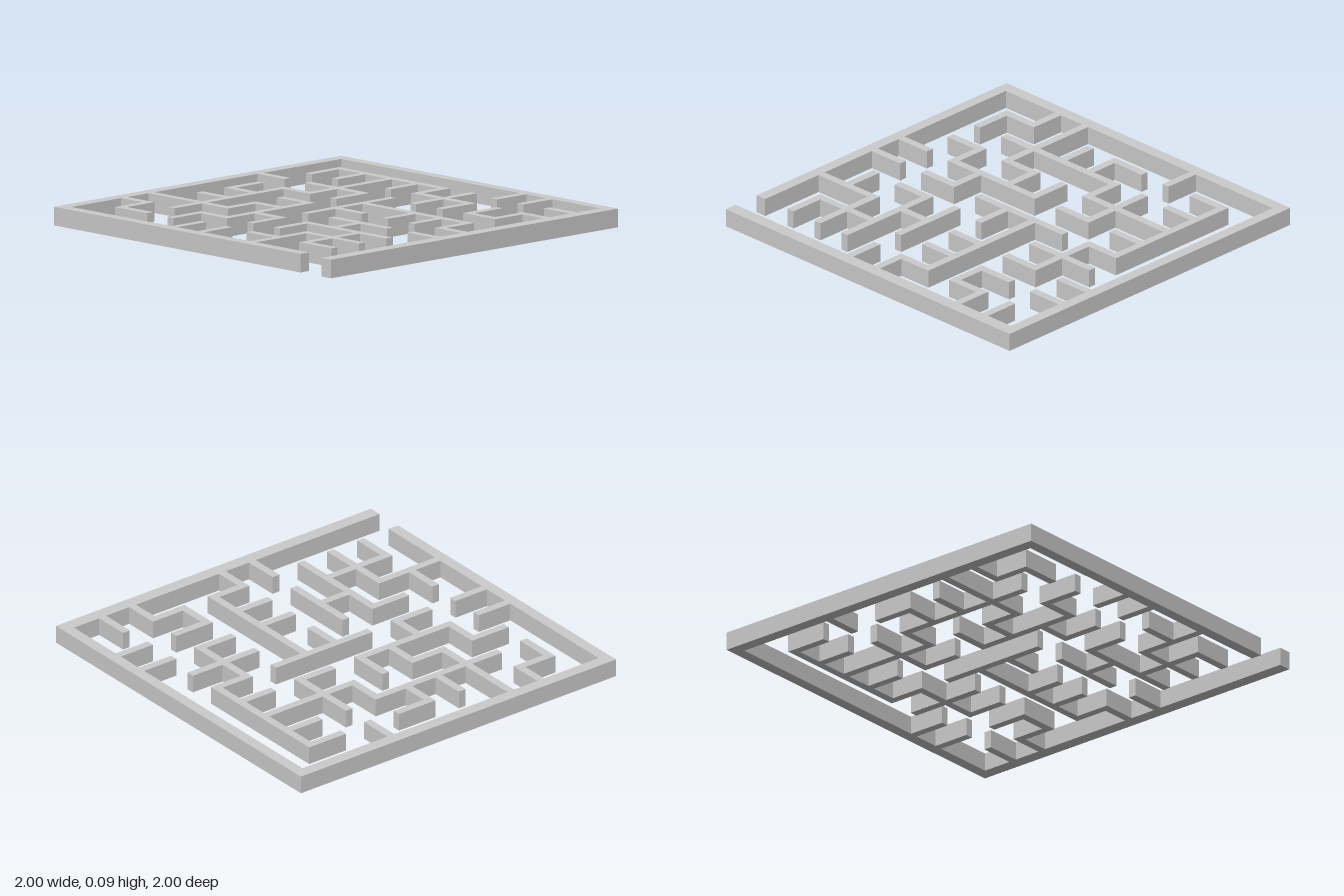
import * as THREE from 'three';

const HEIGHT = 0.095;
const THICK = 0.043;
const STEP = 0.19;

// Grid line 1..9 to coordinate; 0 and 10 are the inner faces of the outer frame
const line = (i) => (i === 0 ? -0.93 : i === 10 ? 0.93 : (i - 5) * STEP - 0.002);

// [grid line, from, to]
const rowWalls = [
  [1, 1, 2], [1, 5, 6], [1, 8, 9],
  [2, 2, 6], [2, 8, 9],
  [3, 1, 2], [3, 3, 4], [3, 6, 9],
  [4, 0, 1], [4, 2, 5], [4, 6, 7], [4, 8, 9],
  [5, 0, 1], [5, 2, 3], [5, 4, 7], [5, 8, 9],
  [6, 2, 3], [6, 7, 9],
  [7, 0, 2], [7, 3, 4], [7, 5, 6], [7, 7, 8], [7, 9, 10],
  [8, 1, 3], [8, 5, 6], [8, 7, 8], [8, 9, 10],
  [9, 5, 6], [9, 7, 8],
];
const columnWalls = [
  [1, 1, 2], [1, 6, 7], [1, 8, 9],
  [2, 0, 1], [2, 3, 4], [2, 7, 9],
  [3, 0, 3], [3, 4, 5], [3, 6, 9],
  [4, 1, 2], [4, 3, 4], [4, 6, 8], [4, 9, 10],
  [5, 1, 2], [5, 3, 4], [5, 5, 6], [5, 9, 10],
  [6, 2, 3], [6, 5, 9],
  [7, 0, 1], [7, 2, 4], [7, 8, 9],
  [8, 5, 7], [8, 9, 10],
  [9, 1, 5], [9, 9, 10],
];

export function createModel() {
  const model = new THREE.Group();
  model.name = 'maze';
  const material = new THREE.MeshStandardMaterial({ color: 0xcccccc, flatShading: true });

  // Outer frame: one thick outline, open at the front end of the right side
  const outline = [
    [-1, 0.78], [-1, -1], [1, -1], [1, 1], [-1, 1], [-1, 0.93],
    [0.94, 0.93], [0.94, -0.935], [-0.94, -0.935], [-0.94, 0.78],
  ];
  const shape = new THREE.Shape(outline.map(([x, z]) => new THREE.Vector2(x, -z)));
  const frameGeometry = new THREE.ExtrudeGeometry(shape, { depth: HEIGHT, bevelEnabled: false });
  frameGeometry.rotateX(-Math.PI / 2);
  const frame = new THREE.Mesh(frameGeometry, material);
  frame.name = 'outerWall';
  model.add(frame);

  // Inner walls: each runs half a thickness past its end lines to close the corners
  const addWalls = (name, walls, alongX) => {
    const group = new THREE.Group();
    group.name = name;
    for (const [at, from, to] of walls) {
      const length = line(to) - line(from) + THICK;
      const middle = (line(from) + line(to)) / 2;
      const wall = new THREE.Mesh(
        new THREE.BoxGeometry(alongX ? length : THICK, HEIGHT, alongX ? THICK : length),
        material,
      );
      wall.position.set(alongX ? middle : line(at), HEIGHT / 2, alongX ? line(at) : middle);
      wall.name = 'innerWall';
      group.add(wall);
    }
    model.add(group);
  };
  addWalls('rowWalls', rowWalls, true);
  addWalls('columnWalls', columnWalls, false);

  return model;
}
